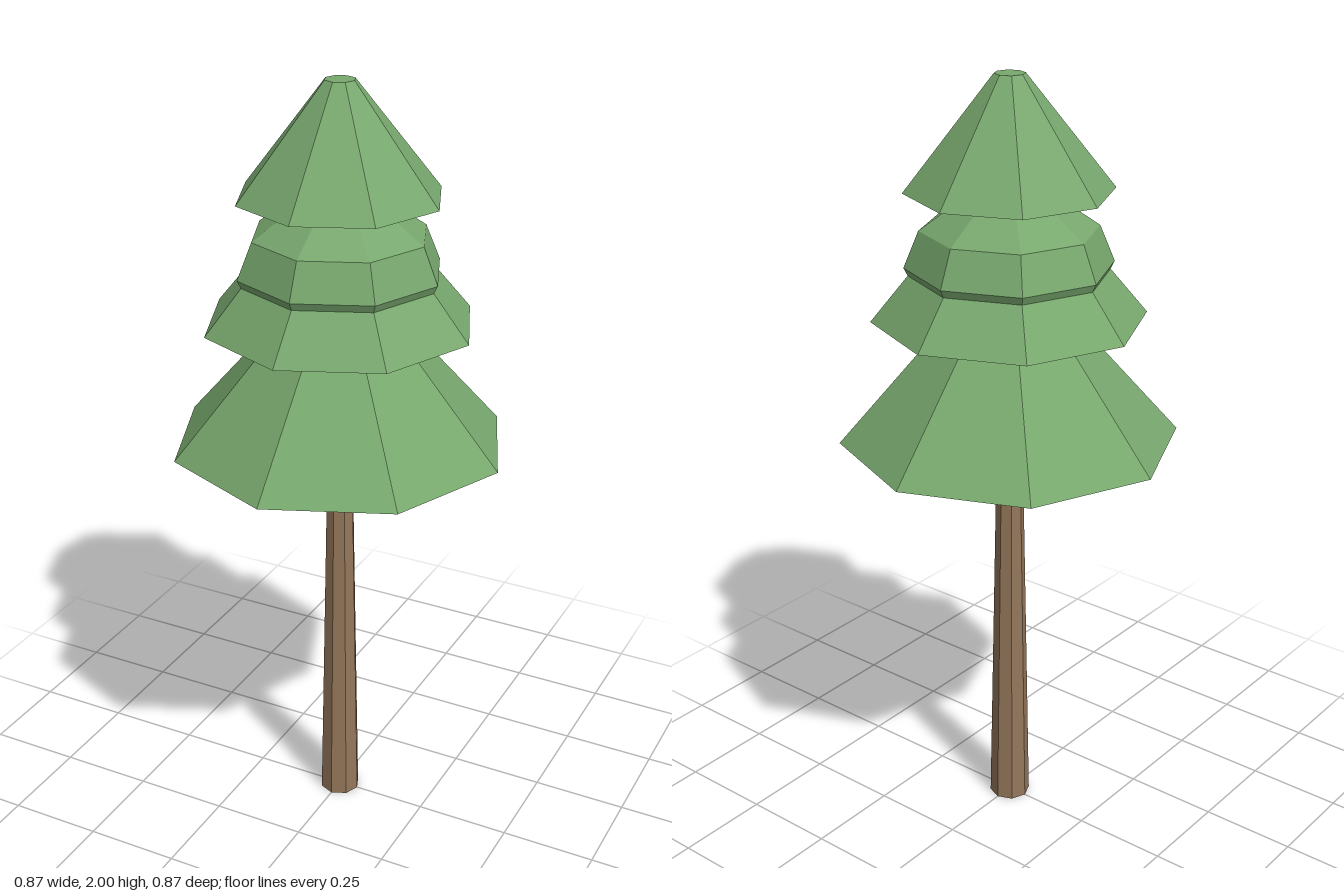
import * as THREE from 'three';

const SIDES = 8;

// Eight-sided faceted solid from a [radius, height] profile, listed bottom to top
function facetedPart(name, profile, material) {
  const points = profile.map(([r, y]) => new THREE.Vector2(r, y));
  const mesh = new THREE.Mesh(new THREE.LatheGeometry(points, SIDES), material);
  mesh.name = name;
  return mesh;
}

export function createModel() {
  const tree = new THREE.Group();
  tree.name = 'pineTree';
  const bark = new THREE.MeshStandardMaterial({ color: 0x94765a, flatShading: true });
  const needles = new THREE.MeshStandardMaterial({ color: 0x78a86e, flatShading: true });

  // Tapered trunk, running slightly into the foliage
  tree.add(facetedPart('trunk', [[0, 0], [0.054, 0], [0.033, 1.08], [0, 1.08]], bark));

  // Wide skirt of branches
  tree.add(facetedPart('lowerFoliage', [[0, 1.08], [0.433, 1.08], [0.153, 1.4], [0, 1.4]], needles));

  // Flared skirt with a rounded dome and a narrow neck above it
  tree.add(facetedPart('middleFoliage', [
    [0, 1.4], [0.345, 1.4], [0.25, 1.515], [0.26, 1.535], [0.222, 1.627],
    [0.127, 1.693], [0.072, 1.702], [0.094, 1.72], [0, 1.72],
  ], needles));

  // Top cone with a blunt tip
  tree.add(facetedPart('topFoliage', [[0, 1.72], [0.259, 1.72], [0.038, 2], [0, 2]], needles));

  return tree;
}
